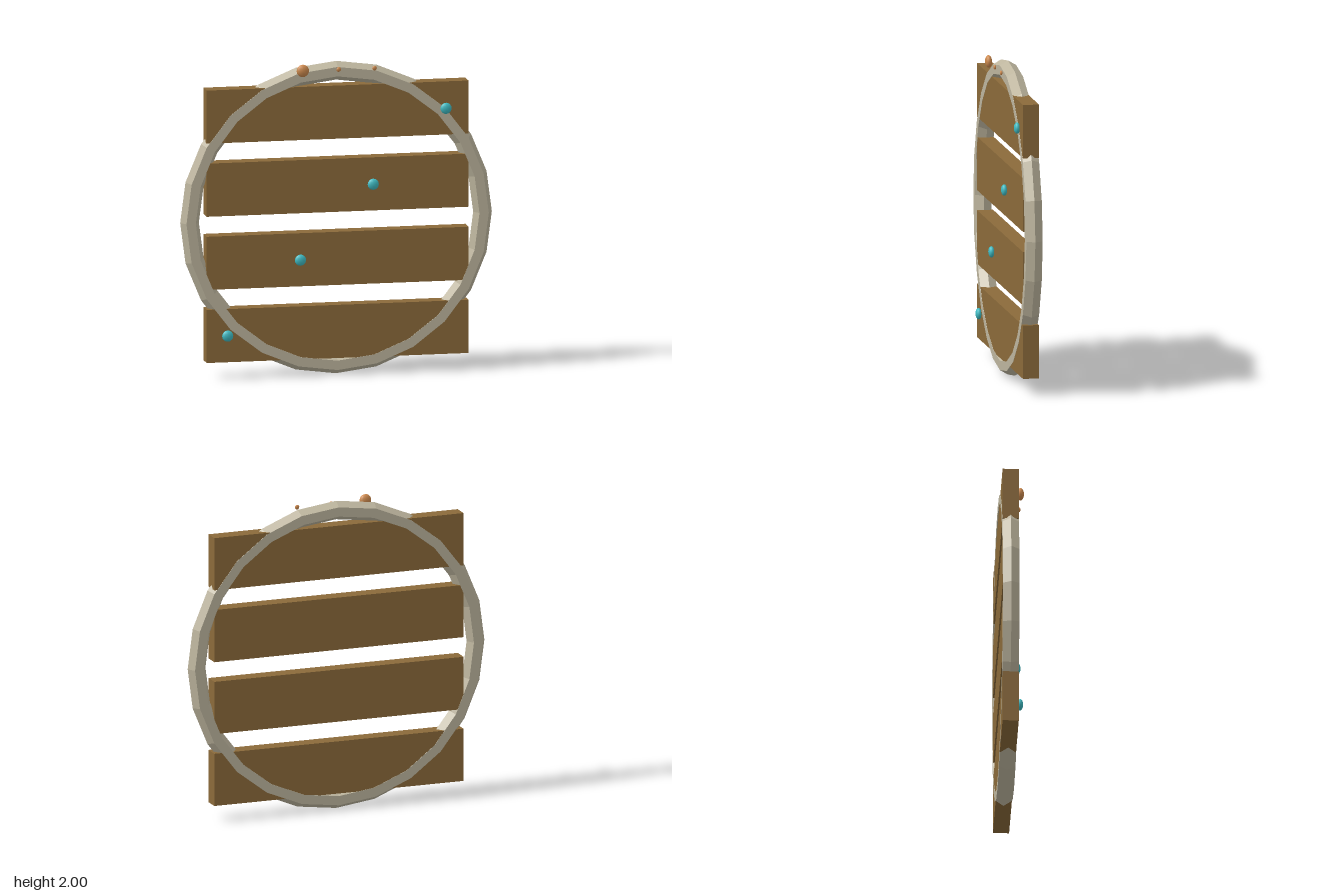
import * as THREE from 'three';

const material = (color, flatShading = false) => new THREE.MeshStandardMaterial({ color, flatShading });

export function createModel() {
  const model = new THREE.Group();
  const wood = material(0x8b6a3a, true);
  const stone = material(0xbdb59e, true);
  const teal = material(0x3fbcc4);
  const copper = material(0xcd8a4e);
  const midZ = -0.027;

  const add = (name, geometry, mat, x, y, z) => {
    const mesh = new THREE.Mesh(geometry, mat);
    mesh.name = name;
    mesh.position.set(x, y, z);
    model.add(mesh);
    return mesh;
  };

  // Hexagonal-section hoop
  add('hoop', new THREE.TorusGeometry(0.94, 0.06, 6, 24), stone, 0, 1, midZ);

  // Four planks, each with a flattened stud, the studs rising along a diagonal
  const plankGeometry = new THREE.BoxGeometry(1.68, 0.34, 0.102);
  const studGeometry = new THREE.SphereGeometry(0.036, 12, 8).scale(1, 1, 0.55);
  for (let i = 0; i < 4; i++) {
    const y = 0.277 + i * 0.468;
    add('plank' + (i + 1), plankGeometry, wood, 0, y, midZ);
    add('stud' + (i + 1), studGeometry, teal, -0.708 + i * 0.467, y, 0.037);
  }

  // Row of flattened beads at the top of the hoop: one large, two small
  [0.04, 0.015, 0.015].forEach((radius, i) => {
    const bead = new THREE.SphereGeometry(radius, 12, 8).scale(1, 1, 0.55);
    add('bead' + (i + 1), bead, copper, -0.23 + i * 0.23, 1.96, 0.057);
  });

  return model;
}
